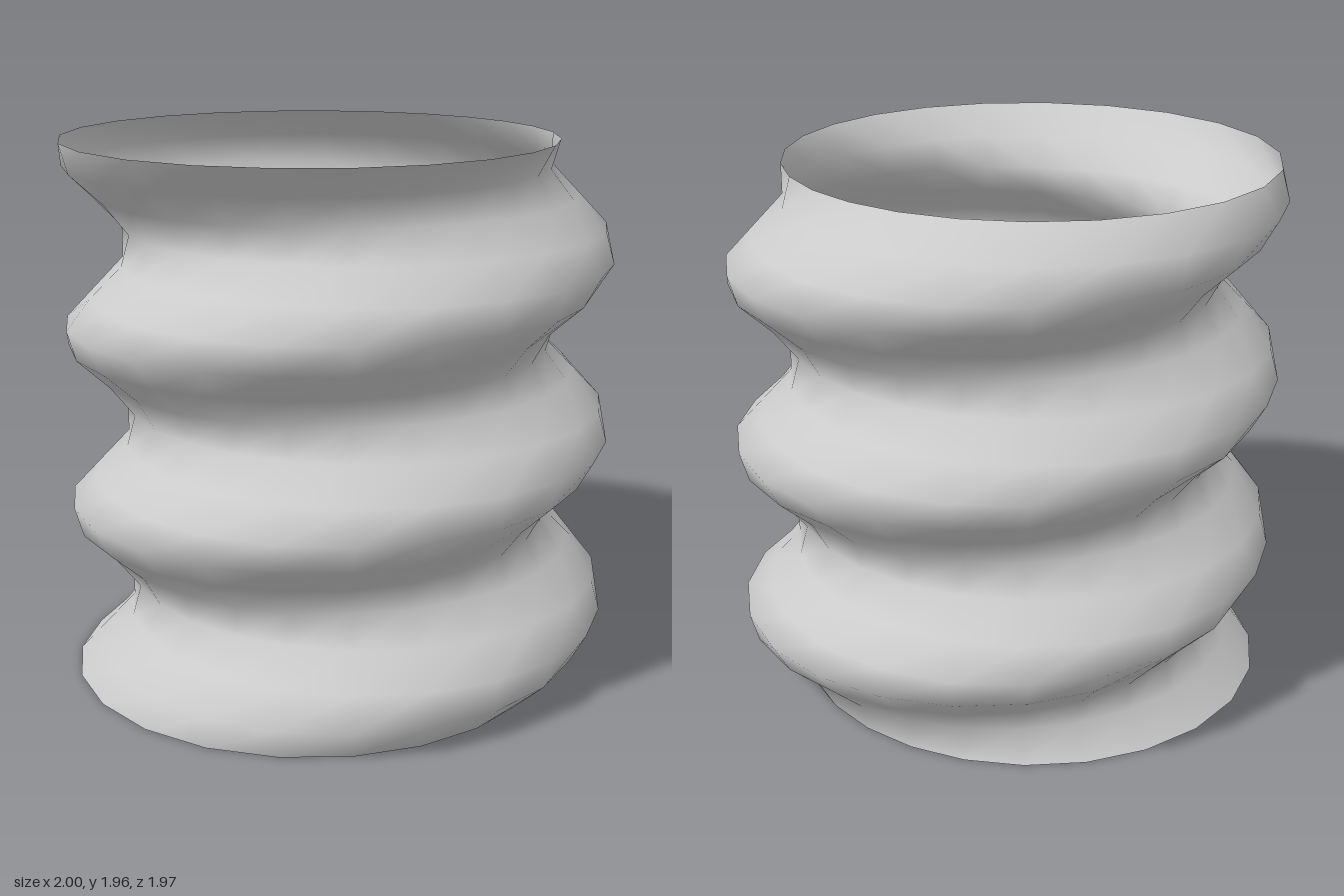
import * as THREE from 'three';
import { mergeVertices } from 'three/addons/utils/BufferGeometryUtils.js';

const HEIGHT = 1.96, TURNS = 3, SIDES = 24, ROWS = 18;
const RADIUS = 0.88, DEPTH = 0.12;

export function createModel() {
  const group = new THREE.Group();
  group.name = 'corrugatedSleeve';

  // Open thin tube whose radius follows a helical wave
  let geo = new THREE.CylinderGeometry(1, 1, HEIGHT, SIDES, ROWS, true);
  geo.translate(0, HEIGHT / 2, 0);
  const pos = geo.attributes.position;
  for (let i = 0; i < pos.count; i++) {
    const x = pos.getX(i), y = pos.getY(i), z = pos.getZ(i);
    const angle = Math.atan2(x, z);
    const r = RADIUS + DEPTH * Math.sin((y / HEIGHT) * TURNS * Math.PI * 2 - angle);
    pos.setXYZ(i, x * r, y, z * r);
  }

  // Weld the seam so the shading is smooth all round
  geo.deleteAttribute('uv');
  geo.deleteAttribute('normal');
  geo = mergeVertices(geo, 1e-4);
  geo.computeVertexNormals();

  const wall = new THREE.Mesh(geo, new THREE.MeshStandardMaterial({ color: 0xcccccc, side: THREE.DoubleSide }));
  wall.name = 'spiralWall';
  group.add(wall);
  return group;
}
